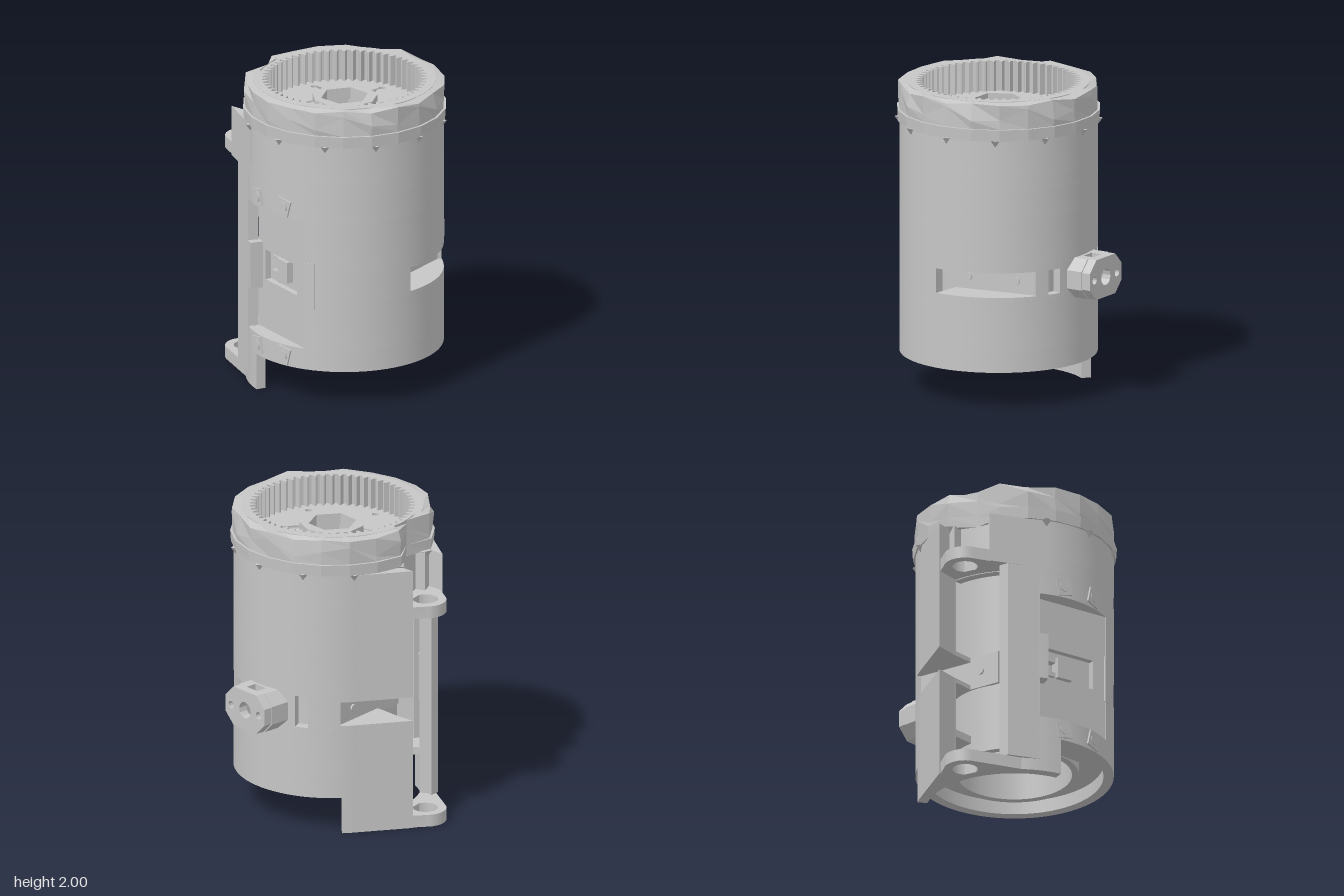
import * as THREE from 'three';
import { toCreasedNormals } from 'three/addons/utils/BufferGeometryUtils.js';

const CX = 0.09, CZ = 0.08, R = 0.63;          // axis and radius of the housing
const rad = THREE.MathUtils.degToRad;
// point on a circle, 0 degrees facing the front, 90 degrees facing +x
const polar = (r, a, x = CX, z = CZ) => [x + r * Math.sin(rad(a)), z + r * Math.cos(rad(a))];

function arc(r, a0, a1, x, z) {
  const n = Math.max(1, Math.ceil(Math.abs(a1 - a0) / 5)), pts = [];
  for (let i = 0; i <= n; i++) pts.push(polar(r, a0 + (a1 - a0) * i / n, x, z));
  return pts;
}
const sector = (r0, r1, a0, a1) => [...arc(r1, a0, a1), ...arc(r0, a1, a0)];
// disc outline relieved beside the mounting ear
const relieved = r => [...arc(r, -69, 263), ...arc(0.545, 265, 289)];
const toVec = pts => pts.map(([x, z]) => new THREE.Vector2(x, -z));

// plan outline (x, z) raised from y0 to y1, with optional holes
function prism(pts, y0, y1, holes = []) {
  const shape = new THREE.Shape(toVec(pts));
  for (const h of holes) shape.holes.push(new THREE.Path(toVec(h)));
  const g = new THREE.ExtrudeGeometry(shape, { depth: y1 - y0, bevelEnabled: false });
  g.rotateX(-Math.PI / 2).translate(0, y0, 0);
  return toCreasedNormals(g, 0.5);
}

export function createModel() {
  const model = new THREE.Group();
  const grey = new THREE.MeshStandardMaterial({ color: 0xc6c6c6, side: THREE.DoubleSide });
  grey.name = 'plainGrey';
  const add = (name, geo, parent = model) => {
    const m = new THREE.Mesh(geo, grey);
    m.name = name;
    parent.add(m);
    return m;
  };
  // group on the housing facing outward at an angle
  const outward = (name, r, a, y) => {
    const g = new THREE.Group(), [x, z] = polar(r, a);
    g.name = name;
    g.position.set(x, y, z);
    g.rotation.y = rad(a);
    model.add(g);
    return g;
  };

  // housing shell: stacked rings with openings [from angle, to angle, y0, y1]
  const cuts = [
    [10, 225, 0, 0.24], [331, 370, 0, 0.24],       // only the skirt reaches the ground
    [75, 136, 0.73, 0.89], [224, 285, 0.73, 0.89], // side slots
    [144, 152, 0.73, 0.89], [197, 205, 0.71, 0.92], // small rear windows
    [262, 297, 0.08, 1.42],                        // screw channel
    [266, 288, 1.5, 1.76],                         // relief above the upper ear
    [318, 370, 0.38, 1.24],                        // front hatch
  ].sort((p, q) => p[0] - q[0]);
  const levels = [...new Set([0, 1.76, ...cuts.flatMap(c => [c[2], c[3]])])].sort((p, q) => p - q);
  for (let i = 0; i + 1 < levels.length; i++) {
    const [y0, y1] = [levels[i], levels[i + 1]];
    let from = 10;
    const wall = to => { if (to > from) add('housingWall', prism(sector(0.565, R, from, to), y0, y1)); };
    for (const c of cuts) {
      if (c[2] > y0 + 1e-6 || c[3] < y1 - 1e-6) continue;
      wall(c[0]);
      from = Math.max(from, c[1]);
    }
    wall(370);
  }
  add('reliefWall', prism(sector(0.5, 0.556, 260, 294), 1.42, 1.76));

  // inner tube, shoulder and perforated plates
  add('innerTube', prism(arc(0.41, 0, 355), 0.25, 1.77, [arc(0.365, 0, 355)]));
  add('shoulder', prism(sector(0.4, 0.58, -61, 261), 0.33, 0.38));
  const around = (r, size) => [0, 60, 120, 180, 240, 300].map(a => arc(size, 0, 345, ...polar(r, a)));
  for (const y of [0.45, 1.66])
    add('innerPlate', prism(arc(0.38, 0, 355), y, y + 0.05, [arc(0.055, 0, 345), ...around(0.14, 0.035)]));

  // pockets behind the side slots
  for (const [s, a0, a1] of [[1, 75, 136], [-1, 224, 262]]) {
    for (const y of [0.7, 0.89]) add('slotLedge', prism(sector(0.4, 0.57, a0, a1), y, y + 0.03));
    const floor = add('slotFloor', new THREE.BoxGeometry(0.02, 0.22, 0.6));
    floor.position.set(CX + s * 0.41, 0.81, -0.07);
    for (const z of [0.1, -0.23]) {
      const screw = add('slotScrew', new THREE.CylinderGeometry(0.024, 0.024, 0.015, 12));
      screw.rotation.z = Math.PI / 2;
      screw.position.set(CX + s * 0.425, 0.81, z);
    }
  }

  // mounting ears and the tangent fins joining them to the housing
  const LX = -0.605, LZ = 0.16;
  const ear = [...arc(0.135, 234, 324, LX, LZ), ...arc(0.6, 324, 234)];
  for (const y of [0, 1.42]) {
    add('mountingEar', prism(ear, y, y + 0.08, [arc(0.08, 0, 350, LX, LZ)]));
    add('earCollar', prism(arc(0.135, 0, 350, LX, LZ), y, y + 0.08, [arc(0.08, 0, 350, LX, LZ)]));
  }
  const rearFin = [[-0.643, -0.01], polar(R, 234), ...arc(0.58, 234, 262)];
  const upperFin = [[-0.6, 0.34], polar(R, 324), ...arc(0.58, 324, 299)];
  const channelFin = [[-0.5, 0.415], [-0.335, 0.548], ...arc(0.566, 318, 303), [-0.5, 0.35]];
  for (const [fin, y0, y1] of [[rearFin, 0, 0.73], [rearFin, 0.89, 1.75],
    [channelFin, 0.08, 1.42], [upperFin, 1.42, 1.75]]) add('mountingFin', prism(fin, y0, y1));

  // flat front hatch, set deeper at its -x edge, with a window
  const hatch = new THREE.Group();
  hatch.name = 'frontHatch';
  hatch.position.set(-0.045, 0.81, 0.595);
  hatch.rotation.y = rad(-23.2);
  model.add(hatch);
  const rect = (C, w, h, x = 0) => new C([[-w, -h], [w, -h], [w, h], [-w, h]].map(p => new THREE.Vector2(p[0] / 2 + x, p[1] / 2)));
  const panel = rect(THREE.Shape, 0.533, 0.86);
  panel.holes.push(rect(THREE.Path, 0.36, 0.2, -0.01));
  add('hatchPanel', new THREE.ExtrudeGeometry(panel, { depth: 0.04, bevelEnabled: false }).translate(0, 0, -0.04), hatch);
  const box = (name, parent, w, h, d, x, y, z) => add(name, new THREE.BoxGeometry(w, h, d), parent).position.set(x, y, z);
  box('windowBack', hatch, 0.4, 0.26, 0.02, 0, 0, -0.1);
  box('windowBlock', hatch, 0.11, 0.14, 0.07, -0.03, 0, -0.055);
  box('windowShelf', hatch, 0.13, 0.16, 0.03, 0.1, 0, -0.075);
  for (const y of [-0.05, 0.05]) box('windowPin', hatch, 0.08, 0.03, 0.05, -0.13, y, -0.065);
  for (const y of [0.355, 1.24]) add('hatchLedge', prism(sector(0.46, 0.6, 318, 370), y, y + 0.025));
  add('hatchClip', prism(sector(0.55, 0.633, 313, 323), 0.65, 0.96));
  add('hatchClip', prism(sector(0.56, 0.633, 369, 376), 0.65, 0.96));
  box('hatchBracket', outward('hatchBracketMount', 0.5, -16, 0.31), 0.34, 0.14, 0.14, 0, 0, 0);

  // hex bolts above and below the hatch, nearly flush
  for (const y of [0.31, 1.31]) for (const a of [-27, -4.5]) {
    const bolt = outward('hatchBolt', R, a, y);
    const seat = add('boltSeat', new THREE.BoxGeometry(0.1, 0.11, 0.02), bolt);
    seat.rotation.z = a < -10 ? 0.2 : -0.25;
    add('boltHead', new THREE.CylinderGeometry(0.036, 0.036, 0.02, 6).rotateX(Math.PI / 2), bolt).position.z = 0.007;
  }

  // rear connector: chamfered block with a slot down its middle
  const plug = outward('rearConnector', 0.56, 175, 0.81);
  plug.rotation.y = rad(171);
  plug.position.x = 0.135;
  const block = (x0, x1, cl, cr, holes) => {
    const h = 0.13, s = new THREE.Shape([[x0 + cl, -h], [x1 - cr, -h], [x1, -h + cr], [x1, h - cr],
      [x1 - cr, h], [x0 + cl, h], [x0, h - cl], [x0, -h + cl]].map(p => new THREE.Vector2(...p)));
    for (const [x, r] of holes) s.holes.push(new THREE.Path().absarc(x, 0, r, 0, Math.PI * 2, true));
    return s;
  };
  const layer = (s, z, depth) =>
    add('connectorBlock', new THREE.ExtrudeGeometry(s, { depth, bevelEnabled: false, curveSegments: 6 }).translate(0, 0, z), plug);
  const bores = [[-0.13, 0.025], [0, 0.055], [0.13, 0.025]];
  layer(block(-0.19, 0.19, 0.07, 0.07, []), -0.02, 0.11);
  layer(block(-0.19, -0.05, 0.07, 0.001, [bores[0]]), 0.09, 0.075);
  layer(block(0.05, 0.19, 0.001, 0.07, [bores[2]]), 0.09, 0.075);
  layer(block(-0.185, 0.185, 0.075, 0.075, bores), 0.165, 0.06);

  // faceted cap around the ring gear, dented beside the mounting ear
  const profile = [[0.6, 1.755], [0.645, 1.755], [0.65, 1.83], [0.635, 1.83], [0.638, 1.91], [0.632, 2], [0.57, 2]];
  const SIDES = 22, rows = profile.length;
  const cap = new THREE.LatheGeometry(profile.map(p => new THREE.Vector2(...p)), SIDES);
  const pos = cap.attributes.position;
  for (let i = 0; i < pos.count; i++) {
    const row = i % rows, k = Math.floor(i / rows) % SIDES;
    let r = profile[row][0], y = profile[row][1];
    if (row === 4) { r += 0.008 * Math.sin(k * 2.4); y += 0.05 * Math.sin(k * 4.1); }
    if (row === 5) { r += 0.012 * Math.sin(k * 1.9); y -= 0.012 * (1 + Math.sin(k * 2.7)); }
    if (k === 17) r = Math.min(r, 0.55);
    const [x, z] = polar(r, k * 360 / SIDES);
    pos.setXYZ(i, x, y, z);
  }
  const facets = cap.toNonIndexed();
  facets.computeVertexNormals();
  add('cap', facets);
  for (let a = 22; a < 370; a += 30)
    add('capTooth', new THREE.ConeGeometry(0.05, 0.07, 4).rotateX(Math.PI), outward('capTab', 0.612, a, 1.725));

  // ring gear with internal teeth
  const teeth = [], N = 60;
  for (let i = 0; i < N; i++)
    [[0, 0.525], [0.3, 0.525], [0.55, 0.49], [0.75, 0.49]].forEach(([t, r]) => teeth.push(polar(r, (i + t) * 360 / N)));
  add('ringGear', prism(relieved(0.58), 1.79, 2, [teeth]));
  add('gearFloor', prism(relieved(0.615), 1.76, 1.8, [arc(0.15, 0, 345), ...around(0.43, 0.022)]));

  // centre hub and its pointed ribs
  const ngon = (r, n, turn) => Array.from({ length: n }, (_, i) => polar(r, turn + i * 360 / n));
  add('hub', prism(ngon(0.21, 9, 10), 1.7, 1.88, [ngon(0.155, 6, 20)]));
  for (const [a, len] of [[120, 0.24], [180, 0.22], [205, 0.22], [225, 0.2], [240, 0.24], [300, 0.22]]) {
    const rib = add('hubRib', new THREE.ConeGeometry(0.05, len, 3).rotateX(Math.PI / 2), outward('hubRibMount', 0.18 + len / 2, a, 1.81));
    rib.scale.y = 0.8;
  }
  return model;
}
